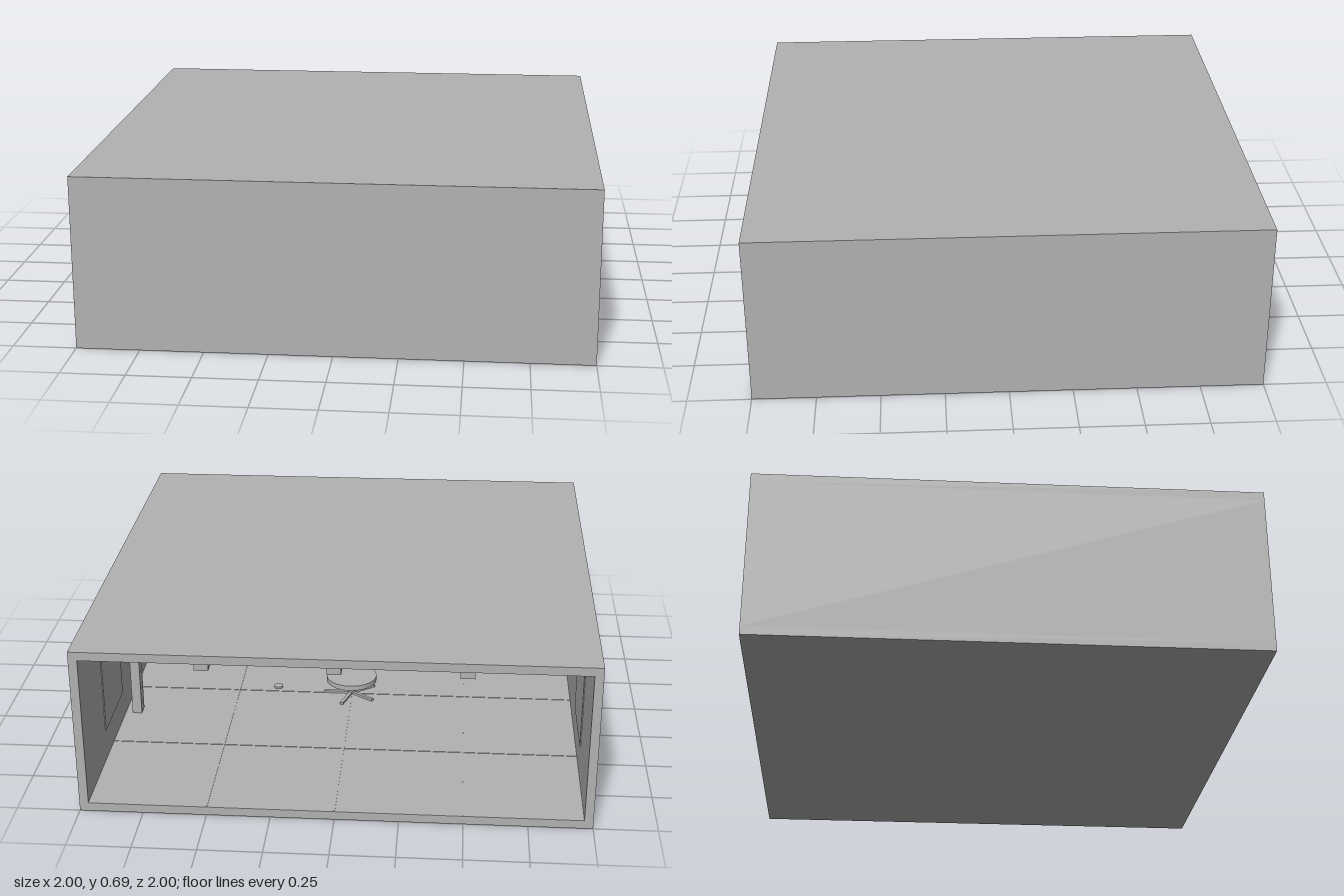
import * as THREE from 'three';

export function createModel() {
  const group = new THREE.Group();
  group.name = 'openRoom';
  const grey = new THREE.MeshStandardMaterial({ color: 0xb2b2b2 });
  grey.name = 'plain grey';

  const H = 0.69, T = 0.035, IN = 1 - T;

  const add = (name, geometry, x, y, z, parent = group) => {
    const mesh = new THREE.Mesh(geometry, grey);
    mesh.name = name;
    mesh.position.set(x, y, z);
    parent.add(mesh);
    return mesh;
  };
  const box = (name, w, h, d, x, y, z, parent) =>
    add(name, new THREE.BoxGeometry(w, h, d), x, y, z, parent);

  // Shell: floor, roof, side walls and front wall; the back stays open
  box('floor', 2, T, 2, 0, T / 2, 0);
  box('roof', 2, T, 2, 0, H - T / 2, 0);
  for (const s of [-1, 1]) {
    box(s > 0 ? 'leftWall' : 'rightWall', T, H - 2 * T, 2, s * (1 - T / 2), H / 2, 0);
  }
  box('frontWall', 2 * IN, H - 2 * T, T, 0, H / 2, 1 - T / 2);

  // Ceiling beams running front to back, and the floor tile seams below
  for (const p of [-0.5, 0, 0.5]) {
    box('ceilingBeam', 0.055, 0.036, 1.945, p, H - T - 0.018, -0.0075);
    box('floorSeamLengthwise', 0.006, 0.002, 1.96, p, T + 0.001, -0.015);
    box('floorSeamCrosswise', 2 * IN, 0.002, 0.006, 0, T + 0.001, p);
  }

  // Flat window panels on both side walls
  for (const s of [-1, 1]) {
    for (const z of [-0.47, 0.47]) {
      box('windowPanel', 0.004, 0.34, 0.34, s * (IN - 0.002), 0.33, z);
    }
  }

  // Post standing beside the left wall
  box('wallPost', 0.04, H - 2 * T, 0.055, 0.915, H / 2, -0.22);

  // Round stool on a star base at the centre of the floor
  const stool = new THREE.Group();
  stool.name = 'stool';
  stool.position.y = T;
  group.add(stool);
  for (let i = 0; i < 5; i++) {
    const a = (i / 5) * Math.PI * 2;
    const leg = box('stoolFoot', 0.12, 0.01, 0.014,
      Math.cos(a) * 0.06, 0.007, -Math.sin(a) * 0.06, stool);
    leg.rotation.y = a;
  }
  add('stoolColumn', new THREE.CylinderGeometry(0.014, 0.014, 0.07, 16), 0, 0.04, 0, stool);
  add('stoolSeat', new THREE.CylinderGeometry(0.11, 0.11, 0.022, 32), 0, 0.08, 0, stool);

  // Small floor disc
  add('floorDisc', new THREE.CylinderGeometry(0.02, 0.02, 0.008, 20), 0.33, T + 0.004, 0.04);

  return group;
}
